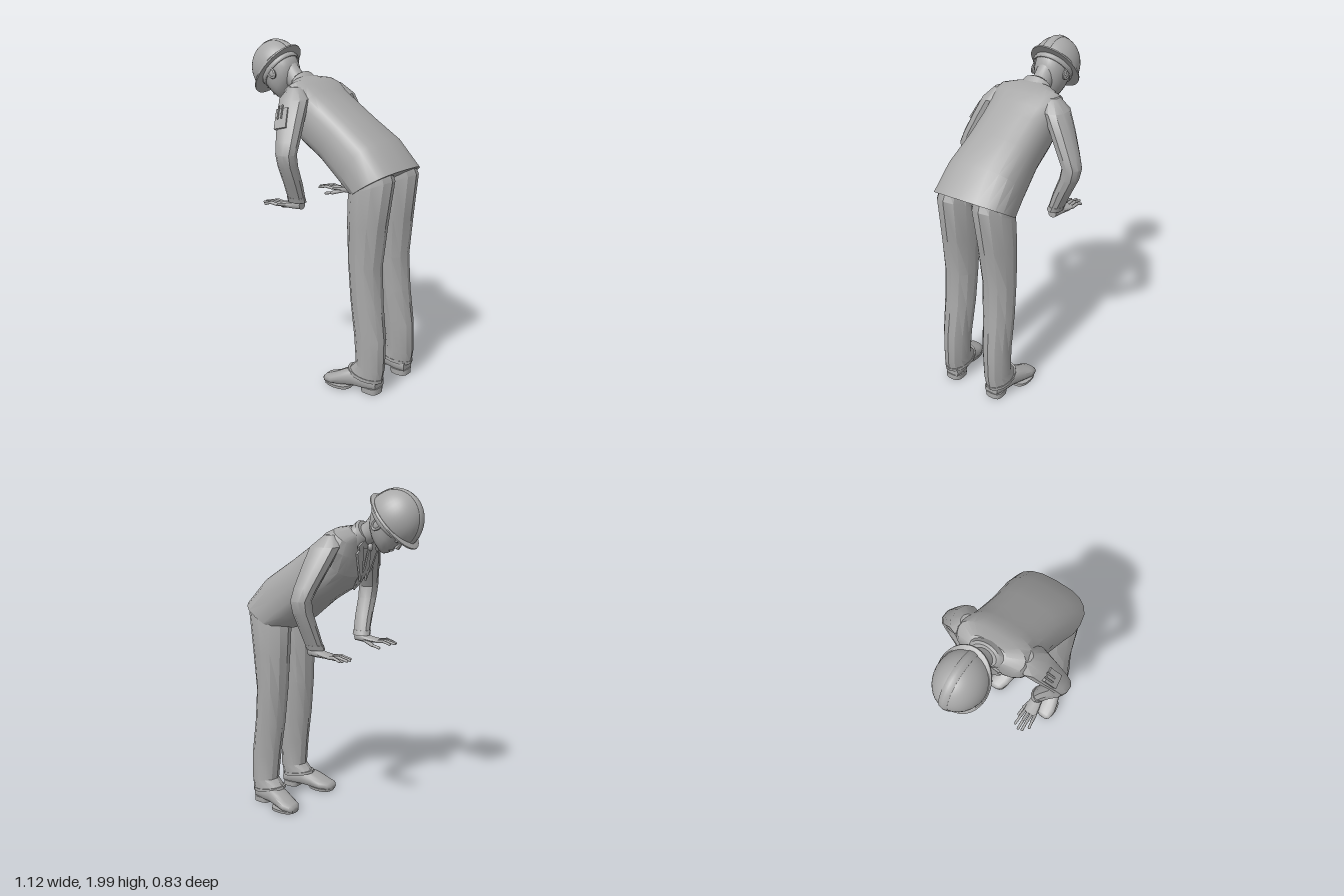
import * as THREE from 'three';
import { toCreasedNormals } from 'three/addons/utils/BufferGeometryUtils.js';

const grey = new THREE.MeshStandardMaterial({ color: 0xa8a8a8 });
grey.name = 'plain grey';

// Closed skin over rings. Each ring: [frontX, frontY, backX, backY, centreZ, halfWidthZ]; p squares the ring off.
function loft(rings, { sides = 16, p = 2, crease = 0.6 } = {}) {
  const pos = [], idx = [];
  const bend = v => Math.sign(v) * Math.abs(v) ** (2 / p);
  for (const [fx, fy, bx, by, z, w] of rings) {
    for (let i = 0; i < sides; i++) {
      const a = (i / sides) * Math.PI * 2, c = bend(Math.cos(a)), s = bend(Math.sin(a));
      pos.push((fx + bx) / 2 + c * (bx - fx) / 2, (fy + by) / 2 + c * (by - fy) / 2, z + s * w);
    }
  }
  const n = rings.length;
  for (let r = 0; r < n - 1; r++) {
    for (let i = 0; i < sides; i++) {
      const a = r * sides + i, b = r * sides + (i + 1) % sides;
      idx.push(a, a + sides, b, b, a + sides, b + sides);
    }
  }
  // end caps
  [0, n - 1].forEach(r => {
    const [fx, fy, bx, by, z] = rings[r], m = pos.length / 3;
    pos.push((fx + bx) / 2, (fy + by) / 2, z);
    for (let i = 0; i < sides; i++) {
      const a = r * sides + i, b = r * sides + (i + 1) % sides;
      idx.push(...(r === 0 ? [m, a, b] : [m, b, a]));
    }
  });
  // turn the skin outward if its enclosed volume is negative
  const P = i => new THREE.Vector3().fromArray(pos, i * 3);
  let volume = 0;
  const o = P(0);
  for (let i = 0; i < idx.length; i += 3) {
    const [a, b, c] = [P(idx[i]).sub(o), P(idx[i + 1]).sub(o), P(idx[i + 2]).sub(o)];
    volume += a.dot(b.cross(c));
  }
  if (volume < 0) idx.reverse();
  const g = new THREE.BufferGeometry();
  g.setAttribute('position', new THREE.Float32BufferAttribute(pos, 3));
  g.setIndex(idx);
  return toCreasedNormals(g, crease);
}

function add(parent, name, geometry, position = [0, 0, 0], scale = [1, 1, 1]) {
  const m = new THREE.Mesh(geometry, grey);
  m.name = name;
  m.position.set(...position);
  m.scale.set(...scale);
  parent.add(m);
  return m;
}

// Rounded rod between two points
function rod(parent, name, a, b, r) {
  const A = new THREE.Vector3(...a), B = new THREE.Vector3(...b), d = B.clone().sub(A);
  const m = add(parent, name, new THREE.CapsuleGeometry(r, d.length(), 4, 8));
  m.position.copy(A).add(B).multiplyScalar(0.5);
  m.quaternion.setFromUnitVectors(new THREE.Vector3(0, 1, 0), d.normalize());
  return m;
}

function buildHead() {
  const head = new THREE.Group();
  head.name = 'head';
  head.position.set(-0.39, 1.815, 0);
  head.rotation.z = 0.85;
  const level = (y, front, back, w) => [front, y, back, y, 0, w];
  add(head, 'skull', loft([
    level(0.05, -0.125, 0.14, 0.11), level(0, -0.13, 0.135, 0.106), level(-0.04, -0.12, 0.132, 0.1),
    level(-0.08, -0.12, 0.118, 0.096), level(-0.12, -0.114, 0.08, 0.084),
    level(-0.15, -0.11, 0.03, 0.062), level(-0.17, -0.098, -0.03, 0.032),
  ], { sides: 24, p: 2.2, crease: 0.9 }));
  add(head, 'nose', loft([
    [-0.125, -0.025, -0.11, -0.025, 0, 0.008], [-0.138, -0.07, -0.11, -0.07, 0, 0.014],
    [-0.142, -0.084, -0.11, -0.088, 0, 0.018], [-0.122, -0.094, -0.11, -0.094, 0, 0.014],
  ], { sides: 10 }));
  add(head, 'lips', new THREE.SphereGeometry(1, 12, 8), [-0.11, -0.12, 0], [0.012, 0.009, 0.028]);
  for (const s of [1, -1]) {
    add(head, 'eye', new THREE.SphereGeometry(1, 12, 8), [-0.108, -0.043, s * 0.04], [0.01, 0.009, 0.017]);
    add(head, 'ear', new THREE.SphereGeometry(1, 12, 10), [0.015, -0.05, s * 0.104], [0.026, 0.038, 0.014]);
    add(head, 'earRim', new THREE.TorusGeometry(0.023, 0.006, 6, 14), [0.018, -0.048, s * 0.114], [1, 1.5, 1]);
  }
  // hard hat: dome, rib, brim and inner band
  add(head, 'helmetDome', new THREE.SphereGeometry(1, 32, 14, 0, Math.PI * 2, 0, Math.PI / 2), [0, 0, 0], [0.165, 0.174, 0.14]);
  add(head, 'helmetRib', new THREE.TorusGeometry(0.162, 0.01, 6, 28, Math.PI), [0, 0, 0], [1, 1.05, 2.8]);
  add(head, 'helmetBrim', loft([
    level(0.008, -0.17, 0.168, 0.144), level(0, -0.2, 0.192, 0.148), level(-0.008, -0.2, 0.192, 0.148),
  ], { sides: 32, crease: 0.4 }));
  const band = add(head, 'helmetBand', new THREE.TorusGeometry(0.122, 0.007, 6, 32), [0.012, -0.026, 0], [1.06, 0.95, 2.4]);
  band.rotation.x = Math.PI / 2;
  return head;
}

function buildArm(s) {
  const arm = new THREE.Group();
  arm.name = s > 0 ? 'leftArm' : 'rightArm';
  const ring = (y, front, back, z, w, dy = 0) => [front, y - dy, back, y + dy, s * z, w];
  add(arm, 'sleeve', loft([
    ring(1.735, -0.13, -0.05, 0.17, 0.045), ring(1.67, -0.165, 0.02, 0.212, 0.068),
    ring(1.56, -0.13, 0.035, 0.272, 0.066), ring(1.45, -0.09, 0.048, 0.328, 0.062),
    ring(1.38, -0.068, 0.052, 0.36, 0.056), ring(1.31, -0.065, 0.048, 0.345, 0.055),
    ring(1.2, -0.07, 0.04, 0.295, 0.05), ring(1.09, -0.078, 0.028, 0.25, 0.042),
  ], { sides: 10, p: 2.2 }));
  add(arm, 'cuff', loft([
    ring(1.115, -0.082, 0.033, 0.26, 0.046), ring(1.085, -0.085, 0.032, 0.248, 0.046),
  ], { sides: 12 }));
  // hand held flat with spread fingers
  add(arm, 'palm', loft([
    [0.012, 1.045, 0.012, 1.1, s * 0.25, 0.026], [-0.04, 1.042, -0.04, 1.092, s * 0.25, 0.032],
    [-0.1, 1.045, -0.1, 1.077, s * 0.255, 0.041], [-0.155, 1.048, -0.155, 1.068, s * 0.262, 0.042],
  ], { sides: 12, p: 2.4 }));
  [[0.228, 0.222, -0.245], [0.25, 0.252, -0.262], [0.272, 0.276, -0.258], [0.294, 0.304, -0.225]]
    .forEach(([z0, z1, tip]) => {
      const knuckle = [(tip - 0.145) / 2, 1.064, s * (z0 + z1) / 2];
      rod(arm, 'finger', [-0.145, 1.058, s * z0], knuckle, 0.0095);
      rod(arm, 'fingertip', knuckle, [tip, 1.052, s * z1], 0.008);
    });
  rod(arm, 'thumb', [-0.06, 1.055, s * 0.232], [-0.13, 1.035, s * 0.21], 0.012);
  rod(arm, 'thumbTip', [-0.13, 1.035, s * 0.21], [-0.18, 1.025, s * 0.205], 0.009);
  // sleeve pocket with pens on one arm
  if (s > 0) {
    const pocket = new THREE.Group();
    pocket.name = 'sleevePocket';
    pocket.position.set(-0.065, 1.57, 0.328);
    pocket.rotation.set(-0.5, 0, 0.25);
    add(pocket, 'pocketPatch', new THREE.BoxGeometry(0.08, 0.12, 0.02));
    for (const x of [-0.02, 0.005]) rod(pocket, 'pen', [x, 0, 0.013], [x, 0.075, 0.013], 0.005);
    arm.add(pocket);
  }
  return arm;
}

function buildLeg(s) {
  const leg = new THREE.Group();
  leg.name = s > 0 ? 'leftLeg' : 'rightLeg';
  const ring = (front, fy, back, by, z, w) => [front, fy, back, by, s * z, w];
  add(leg, 'trouserLeg', loft([
    ring(0.29, 1.25, 0.51, 1.34, 0.115, 0.105), ring(0.267, 1.15, 0.545, 1.26, 0.12, 0.118),
    ring(0.27, 1.0, 0.512, 1.0, 0.13, 0.11), ring(0.285, 0.76, 0.486, 0.76, 0.137, 0.1),
    ring(0.305, 0.55, 0.5, 0.55, 0.142, 0.094), ring(0.335, 0.335, 0.53, 0.335, 0.148, 0.084),
    ring(0.352, 0.17, 0.532, 0.15, 0.153, 0.078), ring(0.3, 0.115, 0.522, 0.075, 0.157, 0.079),
  ], { sides: 12, p: 1.9, crease: 0.5 }));
  add(leg, 'trouserHem', loft([
    ring(0.298, 0.128, 0.526, 0.09, 0.157, 0.081), ring(0.294, 0.112, 0.524, 0.07, 0.157, 0.082),
  ], { sides: 14 }));
  // shoe rings stand upright from toe to heel
  const upright = (x, y0, y1, z, w) => [x, y0, x, y1, s * z, w];
  add(leg, 'shoe', loft([
    upright(0.163, 0.012, 0.038, 0.212, 0.03), upright(0.18, 0.006, 0.056, 0.208, 0.052),
    upright(0.23, 0.006, 0.07, 0.2, 0.068), upright(0.29, 0.012, 0.105, 0.188, 0.068),
    upright(0.36, 0.018, 0.13, 0.172, 0.062), upright(0.45, 0.018, 0.12, 0.156, 0.06),
    upright(0.505, 0.018, 0.1, 0.15, 0.045),
  ], { sides: 16, p: 2.6, crease: 0.8 }));
  const flat = (y, front, back, z, w) => [front, y, back, y, s * z, w];
  add(leg, 'frontSole', loft([flat(0, 0.166, 0.34, 0.203, 0.064), flat(0.018, 0.162, 0.34, 0.203, 0.067)], { p: 2.5 }));
  add(leg, 'heel', loft([flat(0, 0.4, 0.512, 0.154, 0.054), flat(0.035, 0.395, 0.512, 0.154, 0.056)], { p: 3 }));
  return leg;
}

function buildTorso() {
  const torso = new THREE.Group();
  torso.name = 'torso';
  add(torso, 'jacket', loft([
    [0.29, 1.14, 0.555, 1.31, 0, 0.245], [0.2, 1.2, 0.42, 1.46, 0, 0.232],
    [0.05, 1.32, 0.25, 1.57, 0, 0.214], [-0.08, 1.4, 0.11, 1.665, 0, 0.213],
    [-0.17, 1.49, 0.035, 1.712, 0, 0.218], [-0.205, 1.6, -0.02, 1.752, 0, 0.226],
    [-0.205, 1.68, -0.08, 1.775, 0, 0.2], [-0.212, 1.72, -0.14, 1.782, 0, 0.11],
  ], { sides: 20, p: 2.7, crease: 0.45 }));
  add(torso, 'collar', loft([
    [-0.215, 1.65, -0.12, 1.77, 0, 0.122], [-0.235, 1.69, -0.165, 1.808, 0, 0.09],
    [-0.242, 1.7, -0.18, 1.805, 0, 0.075],
  ], { sides: 20 }));
  add(torso, 'neck', loft([
    [-0.2, 1.66, -0.14, 1.77, 0, 0.066], [-0.25, 1.685, -0.205, 1.797, 0, 0.057],
    [-0.31, 1.71, -0.255, 1.855, 0, 0.057],
  ], { sides: 18 }));
  // tie lying down the chest
  add(torso, 'tieKnot', new THREE.SphereGeometry(1, 10, 8), [-0.236, 1.66, 0], [0.014, 0.022, 0.02]);
  add(torso, 'tie', loft([
    [-0.24, 1.66, -0.225, 1.66, 0, 0.013], [-0.218, 1.54, -0.203, 1.54, 0, 0.028],
    [-0.165, 1.45, -0.15, 1.46, 0, 0.032], [-0.13, 1.405, -0.12, 1.415, 0, 0.006],
  ], { sides: 8, p: 3 }));
  // lapels, mirrored
  for (const s of [1, -1]) {
    const shape = new THREE.Shape([[0.05, 0.1], [0.1, 0.07], [0.085, 0.045], [0.105, 0.03], [0.03, -0.14], [0.022, -0.1]]
      .map(([u, v]) => new THREE.Vector2(s * u, v)));
    const lapel = add(torso, 'lapel', new THREE.ExtrudeGeometry(shape, { depth: 0.012, bevelEnabled: false }), [-0.2, 1.6, 0]);
    lapel.rotation.set(0, -Math.PI / 2, 0);
    lapel.rotateX(0.15);
  }
  return torso;
}

export function createModel() {
  const model = new THREE.Group();
  model.name = 'bowingWorker';
  model.add(buildTorso(), buildHead());
  for (const s of [1, -1]) model.add(buildArm(s), buildLeg(s));
  return model;
}
